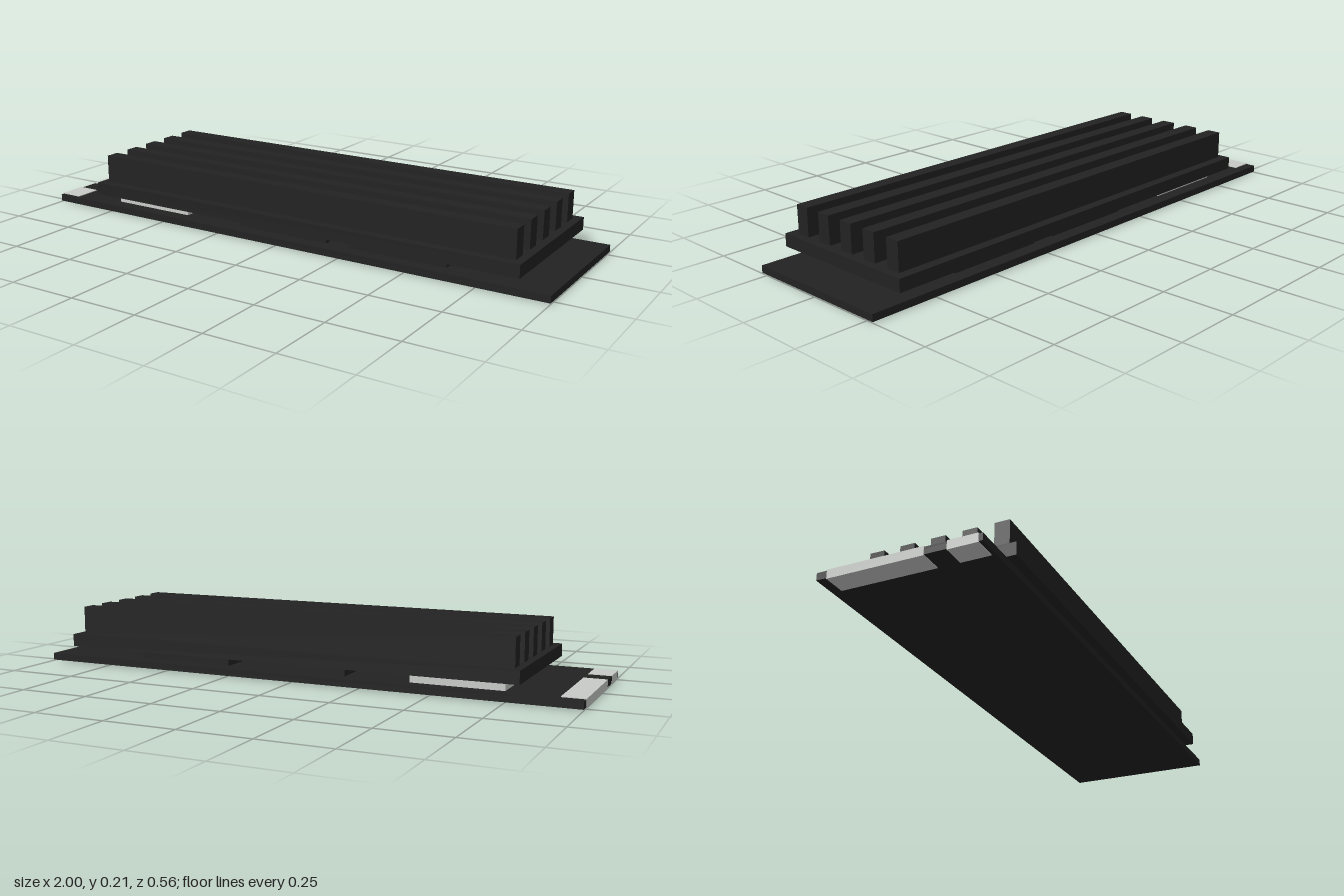
import * as THREE from 'three';

export function createModel() {
  const group = new THREE.Group();
  const black = new THREE.MeshStandardMaterial({ name: 'black', color: 0x222222 });
  const silver = new THREE.MeshStandardMaterial({ name: 'silver', color: 0xc8cbc8 });

  // Box given by its extents on each axis
  function box(name, material, [x0, x1], [y0, y1], [z0, z1]) {
    const mesh = new THREE.Mesh(new THREE.BoxGeometry(x1 - x0, y1 - y0, z1 - z0), material);
    mesh.position.set((x0 + x1) / 2, (y0 + y1) / 2, (z0 + z1) / 2);
    mesh.name = name;
    group.add(mesh);
  }

  // Circuit board
  box('board', black, [-1, 1], [0.003, 0.028], [-0.275, 0.275]);

  // Edge contacts wrapping the connector end, with the key gap between them
  box('longContact', silver, [-1.001, -0.92], [0, 0.0305], [-0.239, 0.088]);
  box('shortContact', silver, [-1.001, -0.92], [0, 0.0305], [0.162, 0.262]);

  // Chips between the board and the heatsink
  box('controllerChip', silver, [-0.74, -0.415], [0.028, 0.064], [-0.225, 0.225]);
  box('memoryChip1', black, [-0.18, 0.18], [0.028, 0.064], [-0.225, 0.225]);
  box('memoryChip2', black, [0.27, 0.63], [0.028, 0.064], [-0.225, 0.225]);

  // Heatsink plate and its five fins
  box('heatsinkBase', black, [-0.8, 0.9], [0.063, 0.108], [-0.281, 0.281]);
  for (let i = -2; i <= 2; i++) {
    const z = i * 0.11;
    box('heatsinkFin' + (i + 3), black, [-0.775, 0.872], [0.108, 0.208], [z - 0.026, z + 0.026]);
  }

  return group;
}
